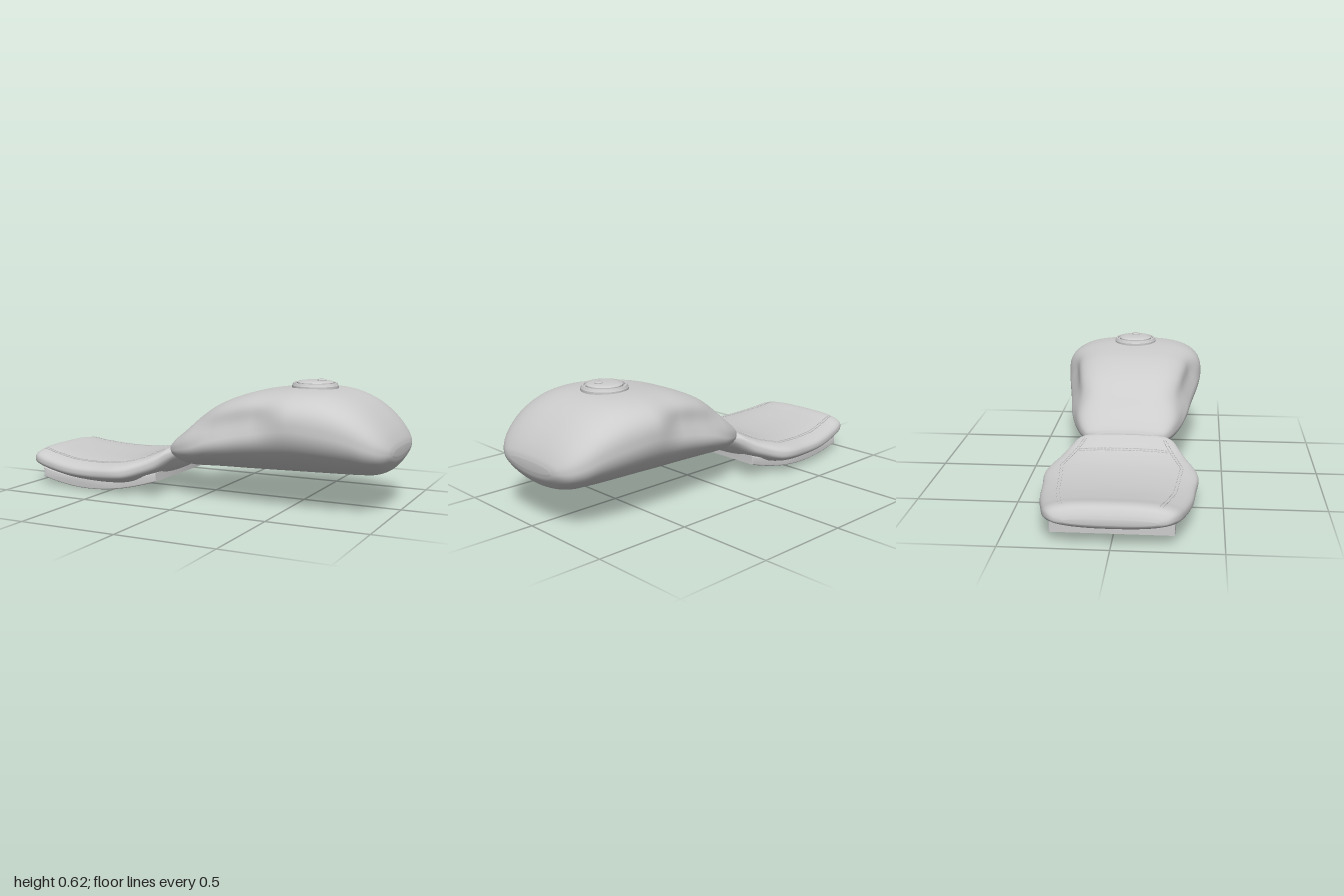
import * as THREE from 'three';
import { mergeGeometries, toCreasedNormals } from 'three/addons/utils/BufferGeometryUtils.js';

const SEG = 72;

// Stations along x: [x, top y, bottom y, half width, y of widest point]
const TANK = [
  [-0.18, 0.255, 0.225, 0.14, 0.24], [-0.165, 0.28, 0.185, 0.2, 0.235],
  [-0.13, 0.315, 0.155, 0.232, 0.24], [-0.08, 0.355, 0.142, 0.258, 0.25],
  [0, 0.425, 0.143, 0.29, 0.27], [0.1, 0.49, 0.146, 0.322, 0.31],
  [0.25, 0.545, 0.148, 0.345, 0.35], [0.4, 0.57, 0.152, 0.368, 0.38],
  [0.55, 0.58, 0.156, 0.378, 0.4], [0.7, 0.567, 0.16, 0.365, 0.385],
  [0.82, 0.52, 0.164, 0.34, 0.36], [0.9, 0.46, 0.172, 0.31, 0.33],
  [0.955, 0.4, 0.197, 0.27, 0.31], [0.99, 0.345, 0.24, 0.21, 0.3],
  [1, 0.315, 0.275, 0.15, 0.295],
];
const SEAT = [
  [-1, 0.14, 0.115, 0.2, 0.128], [-0.99, 0.165, 0.1, 0.25, 0.13],
  [-0.97, 0.19, 0.088, 0.28, 0.135], [-0.94, 0.197, 0.08, 0.3, 0.13],
  [-0.85, 0.183, 0.06, 0.325, 0.115], [-0.7, 0.167, 0.04, 0.355, 0.1],
  [-0.55, 0.165, 0.03, 0.368, 0.1], [-0.42, 0.175, 0.035, 0.378, 0.11],
  [-0.36, 0.186, 0.045, 0.365, 0.115], [-0.28, 0.208, 0.07, 0.32, 0.14],
  [-0.22, 0.235, 0.095, 0.285, 0.165], [-0.175, 0.253, 0.13, 0.25, 0.2],
  [-0.15, 0.25, 0.17, 0.215, 0.21], [-0.14, 0.23, 0.2, 0.17, 0.215],
];

// Smooth interpolation of the stations, by given parameter values
function interpolate(rows, times) {
  const f = new THREE.CubicInterpolant(times, rows.flat(), 5, new Float32Array(5));
  return (t) => Array.from(f.evaluate(t));
}

// Closed body lofted through superelliptic sections
function loft(rows, steps, nTop, nBottom, shapeWidth = (x, y, z) => z) {
  const times = [0];
  for (let i = 1; i < rows.length; i++) {
    const d = Math.hypot(...rows[i].map((v, k) => v - rows[i - 1][k]));
    times.push(times[i - 1] + d);
  }
  const at = interpolate(rows, times);
  const pos = [], index = [];
  for (let i = 0; i <= steps; i++) {
    const [x, top, bottom, w, mid] = at(times[times.length - 1] * i / steps);
    for (let j = 0; j < SEG; j++) {
      const a = j / SEG * Math.PI * 2, c = Math.cos(a), s = Math.sin(a);
      const p = 2 / (s >= 0 ? nTop : nBottom);
      const y = mid + (s >= 0 ? top - mid : bottom - mid) * Math.abs(s) ** p;
      const z = w * Math.sign(c) * Math.abs(c) ** p;
      pos.push(x, y, shapeWidth(x, y, z));
    }
  }
  for (let i = 0; i < steps; i++) {
    for (let j = 0; j < SEG; j++) {
      const k = (j + 1) % SEG, a = i * SEG + j, b = a + SEG, c = i * SEG + k, d = c + SEG;
      index.push(a, b, c, b, d, c);
    }
  }
  // End caps
  const first = rows[0], last = rows[rows.length - 1], n = (steps + 1) * SEG;
  pos.push(first[0], first[4], 0, last[0], last[4], 0);
  for (let j = 0; j < SEG; j++) {
    const k = (j + 1) % SEG, e = steps * SEG;
    index.push(n, j, k, n + 1, e + k, e + j);
  }
  const g = new THREE.BufferGeometry();
  g.setAttribute('position', new THREE.Float32BufferAttribute(pos, 3));
  g.setIndex(index);
  g.computeVertexNormals();
  return g;
}

// Knee recess in both flanks of the tank
function kneeRecess(x, y, z) {
  const along = THREE.MathUtils.smoothstep(x, -0.12, 0.12) * (1 - THREE.MathUtils.smoothstep(x, 0.34, 0.54));
  const centre = 0.37 + 0.2 * x;
  const depth = 0.045 * along * Math.exp(-(((y - centre) / 0.075) ** 2));
  return z - Math.sign(z) * depth * THREE.MathUtils.smoothstep(Math.abs(z), 0.12, 0.26);
}

// Rows of short stitches following a line of [x, z] points on the cushion
function stitches(line, cushionAt) {
  const parts = [];
  const onTop = (x, z) => {
    const [, top, , w, mid] = cushionAt(x);
    const q = Math.min(Math.abs(z) / w, 0.99);
    return new THREE.Vector3(x, mid + (top - mid) * (1 - q ** 2.9) ** (1 / 2.9), z);
  };
  for (let i = 0; i + 1 < line.length; i++) {
    const a = new THREE.Vector2(...line[i]), b = new THREE.Vector2(...line[i + 1]);
    const dir = b.clone().sub(a).normalize();
    const count = Math.round(a.distanceTo(b) / 0.018);
    for (const side of [-0.007, 0.007]) {
      for (let k = 0; k < count; k++) {
        const ends = [k, k + 0.75].map((t) => {
          const p = a.clone().lerp(b, t / count);
          return onTop(p.x - dir.y * side, p.y + dir.x * side);
        });
        const g = new THREE.BoxGeometry(0.005, 0.005, ends[0].distanceTo(ends[1]));
        const m = new THREE.Object3D();
        m.position.copy(ends[0]).lerp(ends[1], 0.5);
        m.lookAt(ends[1]);
        m.updateMatrix();
        parts.push(g.applyMatrix4(m.matrix));
      }
    }
  }
  return mergeGeometries(parts);
}

function lathe(points) {
  const g = new THREE.LatheGeometry(points.map((p) => new THREE.Vector2(...p)), 64);
  return toCreasedNormals(g, 0.6);
}

export function createModel() {
  const model = new THREE.Group();
  model.name = 'tankAndSeat';
  const grey = new THREE.MeshStandardMaterial({ color: 0xcccccc });
  grey.name = 'light grey';
  const add = (name, geometry, parent = model) => {
    const mesh = new THREE.Mesh(geometry, grey);
    mesh.name = name;
    parent.add(mesh);
    return mesh;
  };

  add('fuelTank', loft(TANK, 110, 2.9, 1.95, kneeRecess));

  // Filler cap: flange, groove, shallow dome and lock
  const cap = new THREE.Group();
  cap.name = 'fillerCap';
  cap.position.set(0.55, 0.57, 0);
  model.add(cap);
  add('capFlange', lathe([[0.116, 0], [0.116, 0.016], [0.112, 0.021], [0.109, 0.029],
    [0.1, 0.029], [0.098, 0.021], [0, 0.021]]), cap);
  add('capLid', lathe([[0.09, 0.018], [0.09, 0.031], [0.084, 0.036], [0.06, 0.04], [0, 0.041]]), cap);
  const lock = add('capLock', lathe([[0.022, 0], [0.022, 0.008], [0.019, 0.01], [0, 0.01]]), cap);
  lock.position.set(0.035, 0.037, 0);

  // Seat cushion with stitched seams
  add('seatCushion', loft(SEAT, 80, 2.9, 2.4));
  const cushionAt = interpolate(SEAT, SEAT.map((r) => r[0]));
  for (const side of [1, -1]) {
    add(side > 0 ? 'leftSeam' : 'rightSeam',
      stitches([[-0.94, 0.22], [-0.7, 0.27], [-0.4, 0.295], [-0.19, 0.2]].map(([x, z]) => [x, z * side]), cushionAt));
  }
  add('crossSeam', stitches([[-0.28, -0.225], [-0.28, 0.225]], cushionAt));

  // Curved seat pan
  const pan = new THREE.Shape();
  pan.moveTo(-0.914, 0.045);
  pan.bezierCurveTo(-0.7, -0.012, -0.5, -0.016, -0.214, 0.08);
  pan.lineTo(-0.214, 0.116);
  pan.bezierCurveTo(-0.45, 0.04, -0.7, 0.03, -0.914, 0.088);
  pan.closePath();
  const panGeometry = new THREE.ExtrudeGeometry(pan, {
    depth: 0.548, curveSegments: 24, bevelThickness: 0.006, bevelSize: 0.005, bevelSegments: 3,
  });
  panGeometry.translate(0, 0, -0.274);
  add('seatPan', toCreasedNormals(panGeometry, 0.6));

  return model;
}
